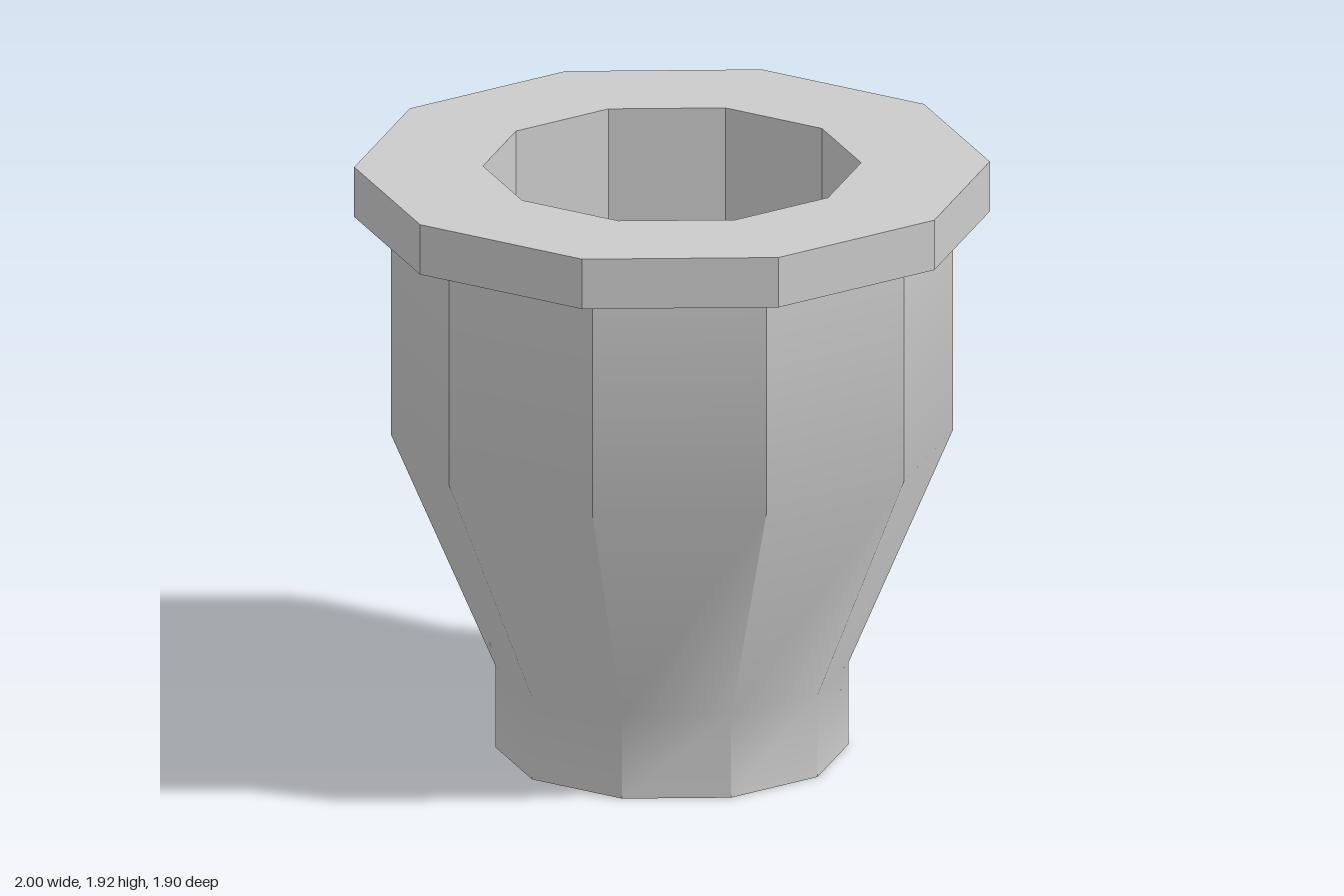
import * as THREE from 'three';

const SIDES = 10;
const STEP = (Math.PI * 2) / SIDES;

// Flat-faceted ten-sided lathe with a corner on the x axis
function facetedLathe(name, profile) {
  const points = profile.map(([r, y]) => new THREE.Vector2(r, y));
  const geometry = new THREE.LatheGeometry(points, SIDES, Math.PI / 2);
  const material = new THREE.MeshStandardMaterial({ color: 0xcccccc, flatShading: true });
  const mesh = new THREE.Mesh(geometry, material);
  mesh.name = name;
  return mesh;
}

// Ten-sided wall: corners stay crisp except on rings marked round,
// while the shading flows smoothly up each side
function facetedWall(name, rings) {
  const positions = [], normals = [], indices = [];
  for (let s = 0; s < SIDES; s++) {
    const a0 = s * STEP, a1 = a0 + STEP, middle = a0 + STEP / 2;
    const base = positions.length / 3;
    for (const { r, y, tilt, round } of rings) {
      for (const a of [a0, a1]) {
        const facing = round ? a : middle;
        positions.push(r * Math.cos(a), y, r * Math.sin(a));
        normals.push(
          Math.cos(facing) * Math.cos(tilt),
          Math.sin(tilt),
          Math.sin(facing) * Math.cos(tilt)
        );
      }
    }
    for (let i = 0; i < rings.length - 1; i++) {
      const b = base + i * 2;
      indices.push(b + 1, b, b + 2, b + 1, b + 2, b + 3);
    }
  }
  const geometry = new THREE.BufferGeometry();
  geometry.setAttribute('position', new THREE.Float32BufferAttribute(positions, 3));
  geometry.setAttribute('normal', new THREE.Float32BufferAttribute(normals, 3));
  geometry.setIndex(indices);
  const mesh = new THREE.Mesh(geometry, new THREE.MeshStandardMaterial({ color: 0xcccccc }));
  mesh.name = name;
  return mesh;
}

export function createModel() {
  const model = new THREE.Group();
  model.name = 'pot';

  // Body: narrow foot, flared middle, straight upper wall
  model.add(facetedWall('body', [
    { r: 0.555, y: 0, tilt: 0 },
    { r: 0.555, y: 0.27, tilt: -0.2, round: true },
    { r: 0.885, y: 1.04, tilt: -0.2 },
    { r: 0.885, y: 1.76, tilt: 0 },
  ]));

  // Closed underside
  model.add(facetedLathe('base', [[0, 0], [0.555, 0]]));

  // Overhanging rim
  model.add(facetedLathe('rim', [[0.885, 1.76], [1, 1.76], [1, 1.925], [0.595, 1.925]]));

  // Straight-sided opening with a flat floor
  model.add(facetedLathe('opening', [[0.595, 1.925], [0.595, 1.04], [0, 1.04]]));

  return model;
}
